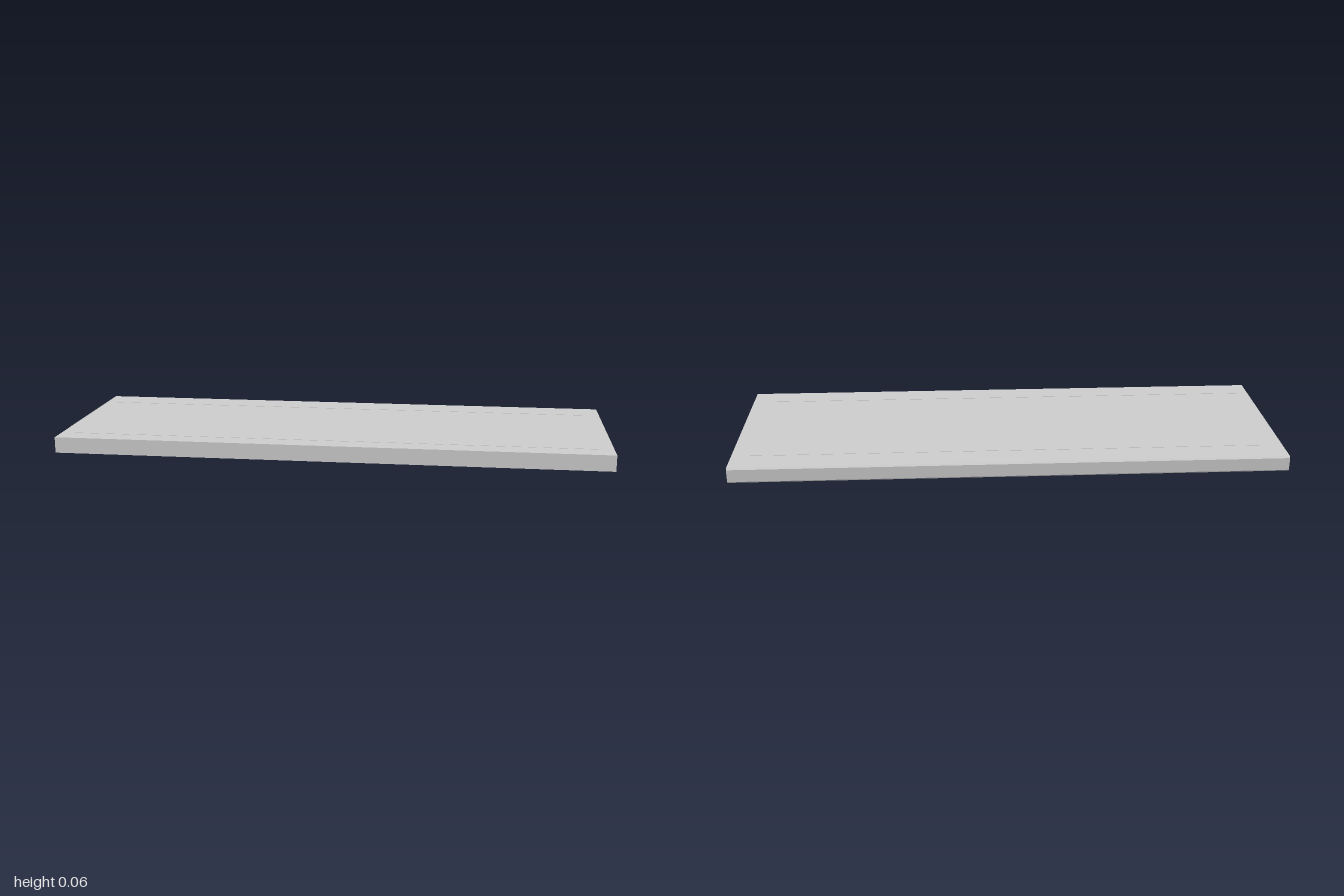
import * as THREE from 'three';

const material = new THREE.MeshStandardMaterial({ color: 0xcccccc, flatShading: true, side: THREE.DoubleSide });
const HALF = 1;        // half length
const DEPTH = 0.35;    // half depth
const TOP = 0.058;     // height of the top surface
const SHEET = 0.004;   // sheet thickness
const BEVEL = 0.006;   // chamfer along the back edges

// Extrudes a side profile (first coordinate points to the back) along x.
function extrudeAlongX(name, points, x0, x1) {
  const shape = new THREE.Shape(points.map(([s, y]) => new THREE.Vector2(s, y)));
  const geometry = new THREE.ExtrudeGeometry(shape, { depth: x1 - x0, bevelEnabled: false });
  geometry.rotateY(Math.PI / 2).translate(x0, 0, 0);
  const mesh = new THREE.Mesh(geometry, material);
  mesh.name = name;
  return mesh;
}

// Box given by its limits on each axis.
function bar(name, x0, x1, y0, y1, z0, z1) {
  const mesh = new THREE.Mesh(new THREE.BoxGeometry(x1 - x0, y1 - y0, z1 - z0), material);
  mesh.position.set((x0 + x1) / 2, (y0 + y1) / 2, (z0 + z1) / 2);
  mesh.name = name;
  return mesh;
}

export function createModel() {
  const group = new THREE.Group();
  group.name = 'shallowTop';

  // Outer side profile with a chamfered back edge
  const outer = [
    [-DEPTH, 0], [DEPTH - BEVEL, 0], [DEPTH, BEVEL],
    [DEPTH, TOP - BEVEL], [DEPTH - BEVEL, TOP], [-DEPTH, TOP],
  ];

  // Top panel with front and back walls, open underneath
  const inner = [
    [-DEPTH + SHEET, TOP - SHEET], [DEPTH - BEVEL - SHEET / 2, TOP - SHEET],
    [DEPTH - SHEET, TOP - BEVEL - SHEET / 2], [DEPTH - SHEET, BEVEL],
    [DEPTH - BEVEL - SHEET / 2, 0],
  ];
  const channel = [[-DEPTH, 0], [-DEPTH + SHEET, 0], ...inner, ...outer.slice(1)];
  group.add(extrudeAlongX('topPanel', channel, -HALF + SHEET, HALF - SHEET));

  // End walls
  group.add(extrudeAlongX('rightEndWall', outer, -HALF, -HALF + SHEET));
  group.add(extrudeAlongX('leftEndWall', outer, HALF - SHEET, HALF));

  // Rectangular frame hanging under the panel; its long rails just break the top
  const frame = new THREE.Group();
  frame.name = 'supportFrame';
  const railX = 0.955, width = 0.018, bottom = 0.028, front = 0.278, back = -0.248;
  frame.add(bar('frontRail', -railX, railX, bottom, TOP + 0.001, front - width, front));
  frame.add(bar('backRail', -railX, railX, bottom, TOP + 0.001, back, back + width));
  for (const [name, side] of [['leftRail', 1], ['rightRail', -1]]) {
    const x = side * (railX - width / 2);
    frame.add(bar(name, x - width / 2, x + width / 2, bottom, TOP - SHEET / 2, back + width, front - width));
  }
  group.add(frame);
  return group;
}
